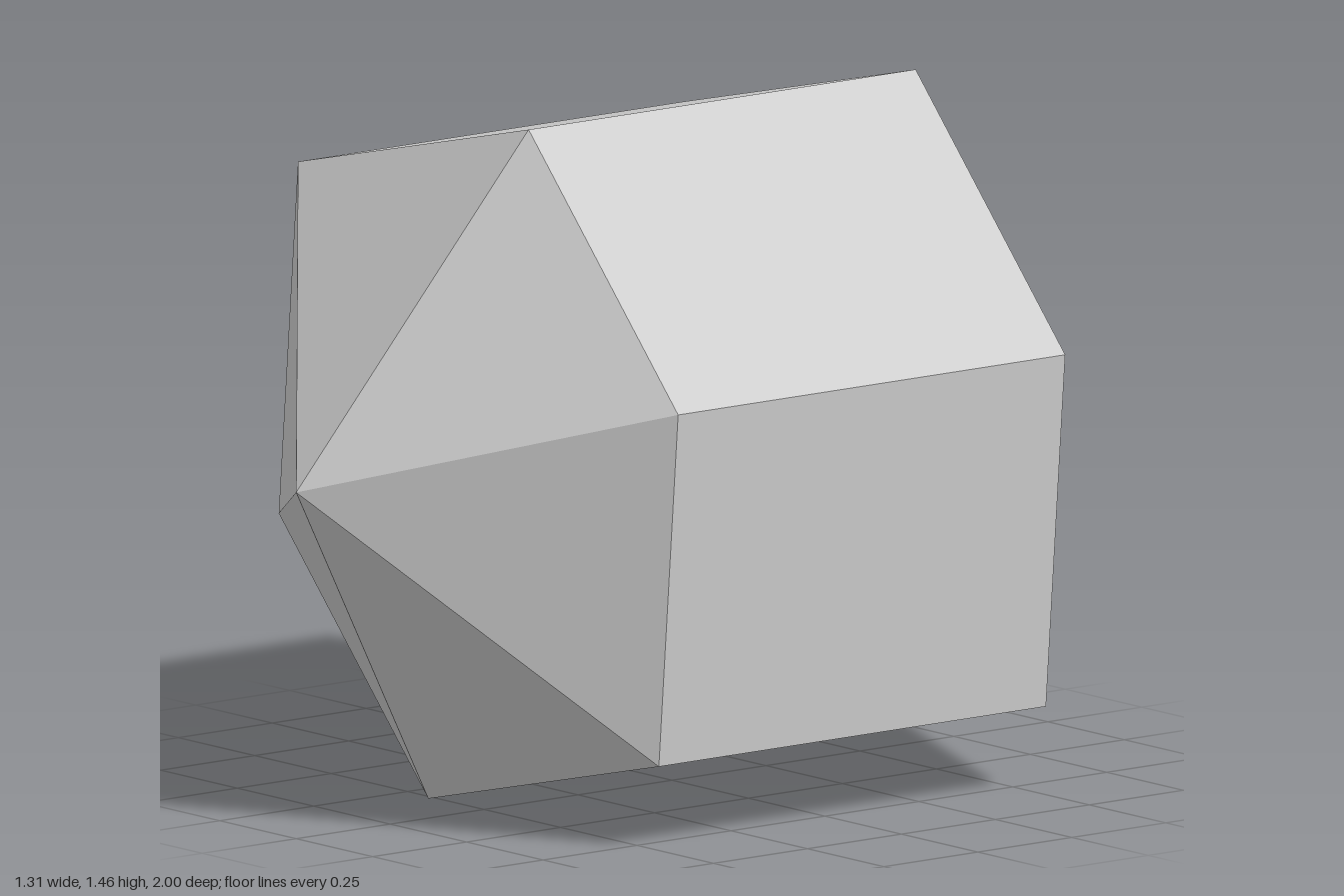
import * as THREE from 'three';

export function createModel() {
  const group = new THREE.Group();
  const stone = new THREE.MeshStandardMaterial({ color: 0xcccccc, flatShading: true });
  stone.name = 'pale grey';

  const midY = 0.728, halfLength = 0.515, tipZ = 1;

  // Half of the six-sided outline, counter-clockwise; the other half is its point reflection
  const half = [[0.653, 0.202], [0.164, 0.728], [-0.59, 0.547]];
  const outline = [...half, ...half.map(([x, y]) => [-x, -y])];
  const ring = (z) => outline.map(([x, y]) => [x, y + midY, z]);
  const front = ring(halfLength), back = ring(-halfLength);

  const addPart = (name, triangles) => {
    const geometry = new THREE.BufferGeometry();
    geometry.setAttribute('position', new THREE.Float32BufferAttribute(triangles.flat(2), 3));
    geometry.computeVertexNormals();
    const mesh = new THREE.Mesh(geometry, stone);
    mesh.name = name;
    group.add(mesh);
  };

  // Prism sides and the two pointed ends
  const sides = [], frontTip = [], backTip = [];
  for (let i = 0; i < 6; i++) {
    const j = (i + 1) % 6;
    sides.push([front[i], back[i], back[j]], [front[i], back[j], front[j]]);
    frontTip.push([[0, midY, tipZ], front[i], front[j]]);
    backTip.push([[0, midY, -tipZ], back[j], back[i]]);
  }
  addPart('crystalSides', sides);
  addPart('frontPoint', frontTip);
  addPart('backPoint', backTip);

  return group;
}
